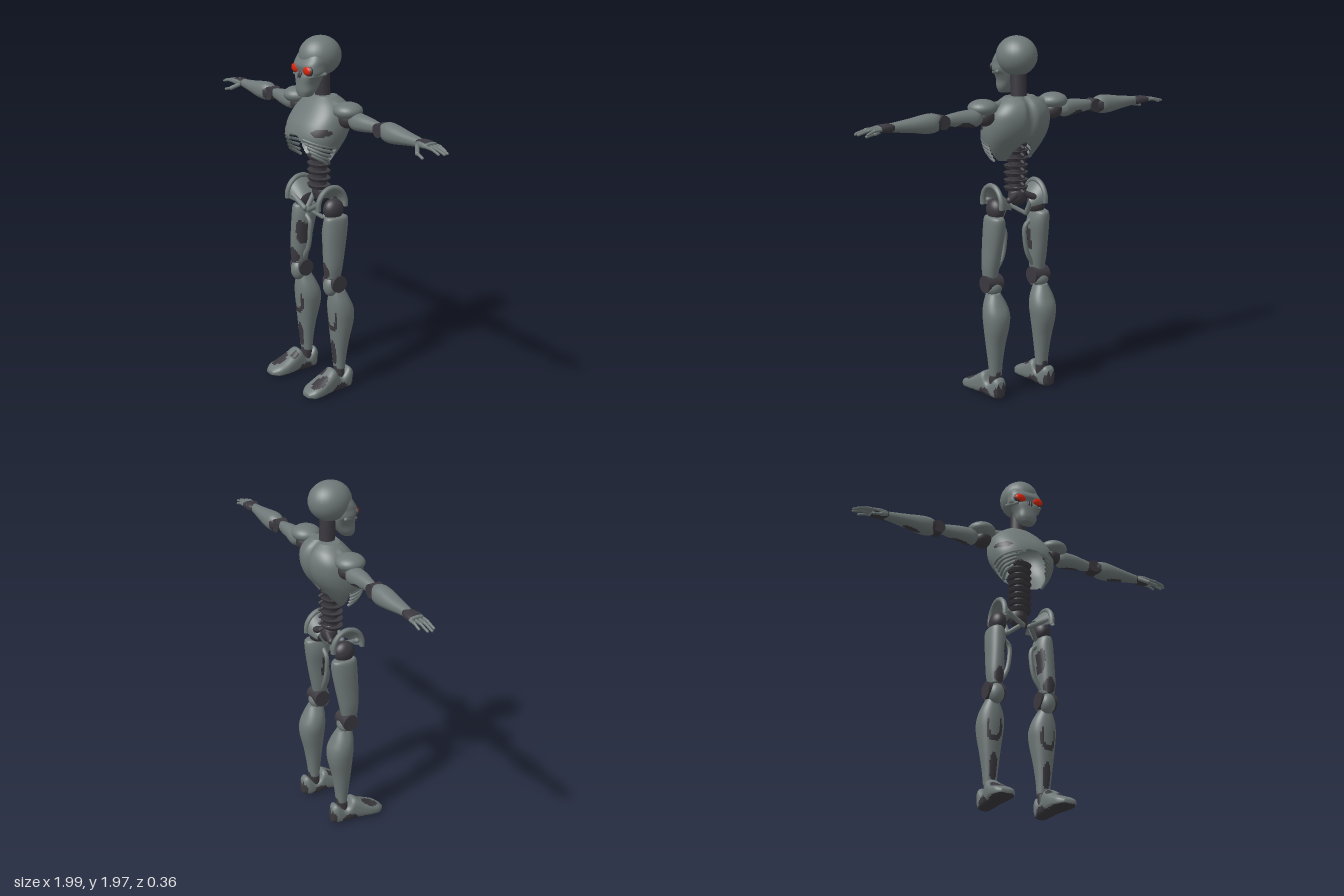
import * as THREE from 'three';

const shell = new THREE.MeshStandardMaterial({ color: 0x6f7878, side: THREE.DoubleSide });
shell.name = 'steelGrey';
const dark = new THREE.MeshStandardMaterial({ color: 0x3b393f, side: THREE.DoubleSide });
dark.name = 'darkJoint';
const red = new THREE.MeshStandardMaterial({ color: 0xd8260a });
red.name = 'eyeRed';
const V = (p) => new THREE.Vector3(...p);

function add(group, name, geo, mat) {
  const m = new THREE.Mesh(geo, mat);
  m.name = name;
  group.add(m);
  return m;
}

// Smooth interpolation through the rows of a section list, u in 0..1
function sample(rows, u) {
  const f = u * (rows.length - 1), i = Math.min(Math.floor(f), rows.length - 2), t = f - i;
  const at = (k) => rows[Math.max(0, Math.min(rows.length - 1, k))];
  return rows[0].map((_, c) => {
    const [a, b, d, e] = [at(i - 1)[c], at(i)[c], at(i + 1)[c], at(i + 2)[c]];
    return b + 0.5 * t * (d - a + t * (2 * a - 5 * b + 4 * d - e + t * (3 * (b - d) + e - a)));
  });
}

// Point on a rounded cross-section [t, a0, a1, b0, b1]
function ringPoint(s, ang, e, scale = 1) {
  const p = (v) => Math.sign(v) * Math.pow(Math.abs(v), 2 / e) * scale;
  return [(s[1] + s[2]) / 2 + (s[2] - s[1]) / 2 * p(Math.cos(ang)),
    (s[3] + s[4]) / 2 + (s[4] - s[3]) / 2 * p(Math.sin(ang))];
}

// Skin through sections; kind(x, y, z) gives 0 shell, 1 dark, 2 open
function loft(group, name, rows, { axis = 'y', e = 2.2, kind = () => 0, n = 40, rings = 40, shape } = {}) {
  const pos = [], faces = [[], []];
  for (let i = 0; i <= rings + 2; i++) {
    const s = sample(rows, Math.max(0, Math.min(1, (i - 1) / rings)));
    for (let j = 0; j < n; j++) {
      const [a, b] = ringPoint(s, j / n * Math.PI * 2, e, i === 0 || i === rings + 2 ? 0 : 1);
      let p = axis === 'y' ? [a, s[0], b] : axis === 'x' ? [s[0], a, b] : [a, b, s[0]];
      if (shape) p = shape(...p);
      pos.push(...p);
    }
  }
  for (let i = 0; i < rings + 2; i++) for (let j = 0; j < n; j++) {
    const a = i * n + j, b = i * n + (j + 1) % n, c = a + n, d = b + n;
    const k = kind(...[0, 1, 2].map((q) => (pos[a * 3 + q] + pos[d * 3 + q]) / 2));
    if (k < 2) faces[k].push(...(axis === 'y' ? [a, c, b, b, c, d] : [a, b, c, b, d, c]));
  }
  const g = new THREE.BufferGeometry();
  g.setAttribute('position', new THREE.Float32BufferAttribute(pos, 3));
  g.setIndex([...faces[0], ...faces[1]]);
  g.addGroup(0, faces[0].length, 0);
  g.addGroup(faces[0].length, faces[1].length, 1);
  g.computeVertexNormals();
  return add(group, name, g, [shell, dark]);
}

const ball = (g, name, c, r, mat) =>
  add(g, name, new THREE.SphereGeometry(1, 28, 20).scale(...r).translate(...c), mat);
const tube = (g, name, pts, r, mat) =>
  add(g, name, new THREE.TubeGeometry(new THREE.CatmullRomCurve3(pts.map(V)), 24, r, 8), mat);
function bone(g, name, p, q, r, mat) {
  const a = V(p), b = V(q), d = b.clone().sub(a);
  const geo = new THREE.CapsuleGeometry(r, d.length(), 4, 10);
  geo.applyQuaternion(new THREE.Quaternion().setFromUnitVectors(V([0, 1, 0]), d.normalize()));
  const m = a.add(b).multiplyScalar(0.5);
  add(g, name, geo.translate(m.x, m.y, m.z), mat);
}
const oval = (a, b, ca, cb, ra, rb) => ((a - ca) / ra) ** 2 + ((b - cb) / rb) ** 2 < 1;

// Mirrored copy with baked geometry and corrected corner order
function mirror(group, name) {
  const out = new THREE.Group();
  out.name = name;
  group.children.forEach((m) => {
    const g = m.geometry.clone().scale(-1, 1, 1), ix = g.index.array;
    for (let i = 0; i < ix.length; i += 3) [ix[i + 1], ix[i + 2]] = [ix[i + 2], ix[i + 1]];
    add(out, m.name, g, m.material);
  });
  return out;
}

function buildHead(g) {
  ball(g, 'cranium', [0, 1.865, -0.037], [0.107, 0.106, 0.118], shell);
  loft(g, 'faceAndJaw', [[1.662, -0.04, 0.04, 0.03, 0.092], [1.69, -0.056, 0.056, 0.005, 0.1],
    [1.73, -0.062, 0.062, -0.02, 0.1], [1.765, -0.08, 0.08, -0.03, 0.098], [1.79, -0.1, 0.1, -0.03, 0.088],
    [1.825, -0.098, 0.098, -0.04, 0.096], [1.86, -0.094, 0.094, -0.04, 0.078], [1.91, -0.07, 0.07, -0.04, 0.05]], { e: 2.5 });
  for (const s of [-1, 1]) {
    ball(g, 'eyeSocket', [s * 0.053, 1.803, 0.077], [0.041, 0.03, 0.014], dark);
    ball(g, 'eye', [s * 0.053, 1.805, 0.083], [0.034, 0.024, 0.014], red);
    ball(g, 'nostril', [s * 0.007, 1.772, 0.092], [0.009, 0.022, 0.009], dark);
    bone(g, 'cheekbone', [s * 0.07, 1.772, 0.075], [s * 0.098, 1.785, 0], 0.01, shell);
  }
  bone(g, 'neck', [0, 1.58, -0.058], [0, 1.77, -0.05], 0.043, dark);
}

const CHEST = [[1.3, -0.12, 0.12, -0.035, 0.06], [1.345, -0.15, 0.15, -0.075, 0.105], [1.395, -0.172, 0.172, -0.115, 0.122],
  [1.45, -0.185, 0.185, -0.155, 0.133], [1.51, -0.186, 0.186, -0.178, 0.115], [1.57, -0.172, 0.172, -0.18, 0.075],
  [1.62, -0.135, 0.135, -0.16, 0.035], [1.655, -0.085, 0.085, -0.12, 0.0]];

function buildTorso(g) {
  // Rib cage shell, open below the breast, with a groove down the back
  loft(g, 'ribCage', CHEST, {
    n: 96, rings: 64, e: 2.3,
    shape: (x, y, z) => [x, y, z + (z < -0.05 ? 0.022 * Math.exp(-((x / 0.022) ** 2)) : 0)],
    kind: (x, y, z) => {
      const ax = Math.abs(x);
      if (y < 1.305 || (z > -0.02 && y < 1.45 - ax * 0.25 + (ax < 0.04 ? 0.015 : 0))) return 2;
      if (z < 0 && ax < 0.06 && y < 1.42 - ax) return 2;
      return z > 0 && oval(ax, y, 0.15, 1.487, 0.035, 0.022) ? 1 : 0;
    },
  });
  // Slanting ribs that follow the shell
  for (const s of [-1, 1]) for (let k = 0; k < 5; k++) {
    const pts = [];
    for (let i = 0; i <= 8; i++) {
      const f = i / 8, y = 1.445 - k * 0.021 - f * (0.045 + k * 0.003);
      const [x, z] = ringPoint(sample(CHEST, (y - 1.3) / 0.37), (1 - f) * (1.22 - k * 0.08) - f * 0.15, 2.3, 0.98);
      pts.push([s * x, y, z]);
    }
    tube(g, 'rib', pts, 0.0085, shell);
  }
  // Spine
  bone(g, 'spineCore', [0, 1.12, -0.035], [0, 1.44, -0.035], 0.04, dark);
  for (let i = 0; i < 8; i++) {
    const y = 1.15 + i * 0.04;
    add(g, 'vertebra', new THREE.CylinderGeometry(0.07, 0.06, 0.018, 24).scale(1, 1, 0.85).translate(0, y, -0.03), dark);
    bone(g, 'spinousProcess', [0, y, -0.07], [0, y - 0.012, -0.1], 0.009, dark);
  }
  ball(g, 'sacrum', [0, 1.115, -0.045], [0.055, 0.06, 0.045], dark);
}

function buildHip(g) {
  // Flared wing arching from front to back over the joint
  const wing = new THREE.PlaneGeometry(1, 1, 24, 6), p = wing.attributes.position;
  for (let i = 0; i < p.count; i++) {
    const t = (p.getX(i) + 0.5) * Math.PI * 1.1 - 0.15, v = p.getY(i) + 0.5;
    p.setXYZ(i, 0.065 + 0.085 * v, 1.05 + 0.03 * v + (0.045 + 0.058 * v) * Math.sin(t), -0.015 + (0.065 + 0.03 * v) * Math.cos(t));
  }
  wing.computeVertexNormals();
  add(g, 'pelvisWing', wing, shell);
  const rim = [];
  for (let i = 0; i <= 10; i++) {
    const t = i / 10 * Math.PI * 1.1 - 0.15;
    rim.push([0.145, 1.075 + 0.1 * Math.sin(t), -0.013 + 0.09 * Math.cos(t)]);
  }
  tube(g, 'pelvisRim', rim, 0.015, shell);
  bone(g, 'pubisUpper', [0.12, 1.085, 0.06], [0.02, 1.03, 0.05], 0.014, shell);
  bone(g, 'pubisLower', [0.03, 1.03, 0.045], [0.08, 0.995, 0], 0.012, shell);
  bone(g, 'ischium', [0.085, 0.995, -0.01], [0.085, 1.08, -0.06], 0.015, shell);
  bone(g, 'sacrumLink', [0.08, 1.1, -0.08], [0.03, 1.12, -0.07], 0.018, dark);
  ball(g, 'hipJoint', [0.135, 1.05, -0.03], [0.046, 0.06, 0.06], dark);
}

function buildLeg(g) {
  loft(g, 'thigh', [[0.67, 0.122, 0.195, -0.055, 0.035], [0.74, 0.112, 0.202, -0.07, 0.042], [0.84, 0.105, 0.2, -0.09, 0.043],
    [0.94, 0.095, 0.198, -0.107, 0.04], [1.0, 0.105, 0.192, -0.11, 0.034], [1.015, 0.12, 0.18, -0.09, 0.02]], {
    kind: (x, y, z) => (z > -0.03 && (oval(x, y, 0.152, 0.715, 0.032, 0.045) || oval(x, y, 0.11, 0.86, 0.016, 0.07))) ? 1 : 0,
  });
  tube(g, 'innerThighStrut', [[0.11, 0.96, -0.02], [0.07, 0.925, -0.02], [0.068, 0.85, -0.02], [0.085, 0.77, -0.02], [0.125, 0.7, -0.015]], 0.013, shell);
  add(g, 'kneeJoint', new THREE.CylinderGeometry(0.047, 0.047, 0.1, 24).rotateZ(Math.PI / 2).translate(0.157, 0.638, -0.025), dark);
  ball(g, 'kneeCap', [0.155, 0.62, 0.002], [0.043, 0.058, 0.04], shell);
  ball(g, 'kneeBack', [0.157, 0.615, -0.045], [0.05, 0.04, 0.035], shell);
  loft(g, 'shin', [[0.12, 0.122, 0.193, -0.088, -0.03], [0.2, 0.117, 0.2, -0.097, -0.02], [0.3, 0.105, 0.213, -0.113, -0.01],
    [0.4, 0.09, 0.226, -0.137, 0], [0.47, 0.083, 0.23, -0.138, 0.006], [0.53, 0.095, 0.22, -0.115, 0.006], [0.59, 0.125, 0.195, -0.085, 0]], {
    kind: (x, y, z) => (z > -0.06 && ((oval(x, y, 0.16, 0.43, 0.045, 0.08) && !oval(x, y, 0.16, 0.46, 0.032, 0.08))
      || oval(x, y, 0.158, 0.22, 0.022, 0.075))) ? 1 : 0,
  });
  bone(g, 'ankle', [0.16, 0.07, -0.055], [0.158, 0.14, -0.06], 0.033, dark);
  // Foot with a dip for the ankle, dark sole and toe patches
  loft(g, 'foot', [[-0.13, 0.145, 0.195, 0.012, 0.1], [-0.105, 0.125, 0.21, 0, 0.12], [-0.06, 0.122, 0.213, 0, 0.078],
    [-0.03, 0.12, 0.215, 0, 0.088], [0, 0.118, 0.22, 0, 0.135], [0.05, 0.112, 0.23, 0, 0.108],
    [0.1, 0.11, 0.238, 0, 0.08], [0.15, 0.12, 0.236, 0, 0.058], [0.183, 0.15, 0.21, 0.012, 0.035]], {
    axis: 'z', e: 2.8,
    kind: (x, y, z) => (y < 0.014 || oval(x, z, 0.195, 0.1, 0.032, 0.05) || oval(x, z, 0.14, 0.04, 0.02, 0.025)
      || oval(y, z, 0.02, -0.03, 0.03, 0.045) || oval(y, z, 0.04, -0.13, 0.035, 0.02)) ? 1 : 0,
  });
}

function buildArm(g) {
  ball(g, 'shoulderPad', [0.23, 1.61, -0.052], [0.08, 0.045, 0.078], shell);
  ball(g, 'shoulderJoint', [0.222, 1.562, -0.06], [0.052, 0.05, 0.052], dark);
  bone(g, 'collarBone', [0.1, 1.615, -0.05], [0.19, 1.605, -0.055], 0.026, shell);
  loft(g, 'upperArm', [[0.25, 1.54, 1.595, -0.09, -0.035], [0.29, 1.517, 1.608, -0.112, -0.018], [0.36, 1.522, 1.607, -0.106, -0.02],
    [0.43, 1.532, 1.6, -0.097, -0.034], [0.475, 1.54, 1.592, -0.09, -0.042]], {
    axis: 'x', kind: (x, y, z) => (y < 1.56 && oval(x, z, 0.35, -0.08, 0.06, 0.025)) ? 1 : 0,
  });
  add(g, 'elbowJoint', new THREE.CylinderGeometry(0.037, 0.037, 0.066, 24).rotateX(Math.PI / 2).translate(0.497, 1.562, -0.067), dark);
  loft(g, 'forearm', [[0.5, 1.53, 1.595, -0.095, -0.04], [0.545, 1.513, 1.612, -0.117, -0.022], [0.6, 1.512, 1.61, -0.118, -0.018],
    [0.68, 1.524, 1.598, -0.11, -0.026], [0.75, 1.534, 1.59, -0.1, -0.036], [0.81, 1.54, 1.584, -0.092, -0.044]], {
    axis: 'x', kind: (x, y, z) => (oval(x, y, 0.515, 1.555, 0.025, 0.035) || (y < 1.56 && oval(x, z, 0.65, -0.07, 0.05, 0.02))) ? 1 : 0,
  });
  loft(g, 'palm', [[0.785, 1.545, 1.582, -0.095, -0.045], [0.81, 1.54, 1.585, -0.105, -0.035], [0.85, 1.545, 1.584, -0.11, -0.03],
    [0.885, 1.55, 1.578, -0.11, -0.032]], {
    axis: 'x', e: 2.6, kind: (x, y, z) => (x < 0.868 && z < -0.04) || y < 1.555 ? 1 : 0,
  });
  // Four fingers and the thumb
  [0.945, 0.985, 0.99, 0.972].forEach((tip, i) => {
    const z = -0.104 + i * 0.022, m = 0.87 + (tip - 0.87) * 0.5;
    bone(g, 'fingerBase', [0.87, 1.564, z], [m, 1.562, z], 0.0085, shell);
    bone(g, 'fingerTip', [m, 1.562, z], [tip, 1.548, z], 0.007, shell);
  });
  bone(g, 'thumbBase', [0.81, 1.555, -0.04], [0.85, 1.53, -0.008], 0.012, shell);
  bone(g, 'thumbTip', [0.85, 1.53, -0.008], [0.895, 1.518, -0.002], 0.008, shell);
}

export function createModel() {
  const model = new THREE.Group();
  model.name = 'skeletalRobot';
  const part = (name, build, paired) => {
    const g = new THREE.Group();
    build(g);
    g.name = paired ? 'left' + name : name;
    model.add(g);
    if (paired) model.add(mirror(g, 'right' + name));
  };
  part('head', buildHead);
  part('torso', buildTorso);
  part('Hip', buildHip, true);
  part('Leg', buildLeg, true);
  part('Arm', buildArm, true);
  return model;
}
